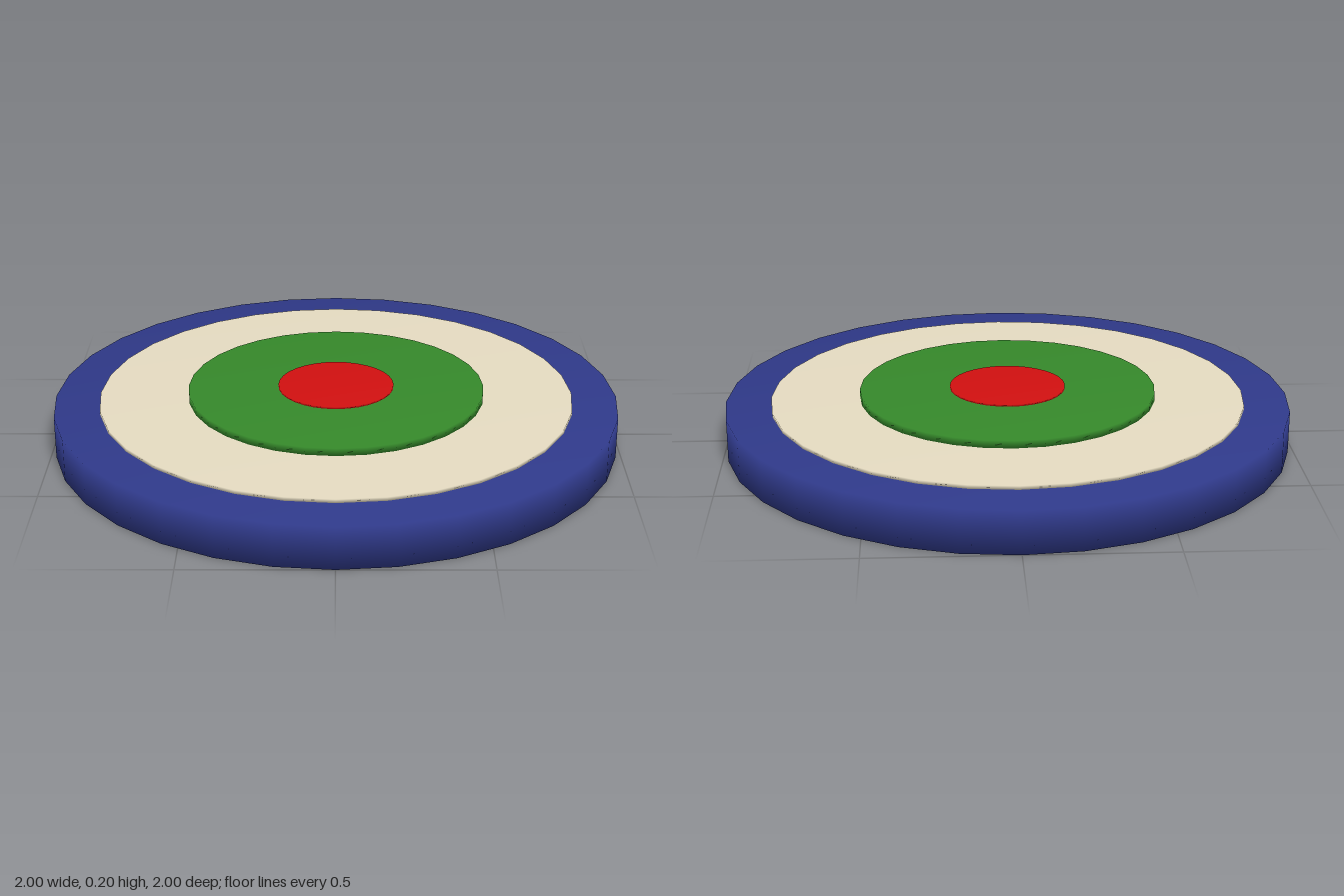
import * as THREE from 'three';
import { mergeVertices } from 'three/addons/utils/BufferGeometryUtils.js';

const SIDES = 32;

// Disc whose caps and rim share vertices, so shading rolls softly over the edge
function softDisc(radius, height) {
  const geometry = new THREE.CylinderGeometry(radius, radius, height, SIDES);
  geometry.deleteAttribute('uv');
  geometry.deleteAttribute('normal');
  const welded = mergeVertices(geometry, 1e-4);
  welded.computeVertexNormals();
  return welded;
}

export function createModel() {
  const model = new THREE.Group();
  model.name = 'layeredDisc';

  // Stacked discs from the base up; each stands on the one below
  const layers = [
    { name: 'baseDisc', radius: 1.0, top: 0.15, color: 0x2f3989 },
    { name: 'creamDisc', radius: 0.84, top: 0.163, color: 0xe4dac0 },
    { name: 'greenDisc', radius: 0.525, top: 0.19, color: 0x35882a },
    { name: 'redCentre', radius: 0.205, top: 0.197, color: 0xd01010 },
  ];

  let bottom = 0;
  for (const { name, radius, top, color } of layers) {
    const mesh = new THREE.Mesh(
      softDisc(radius, top - bottom),
      new THREE.MeshStandardMaterial({ color })
    );
    mesh.name = name;
    mesh.position.y = (top + bottom) / 2;
    model.add(mesh);
    bottom = top;
  }

  return model;
}
